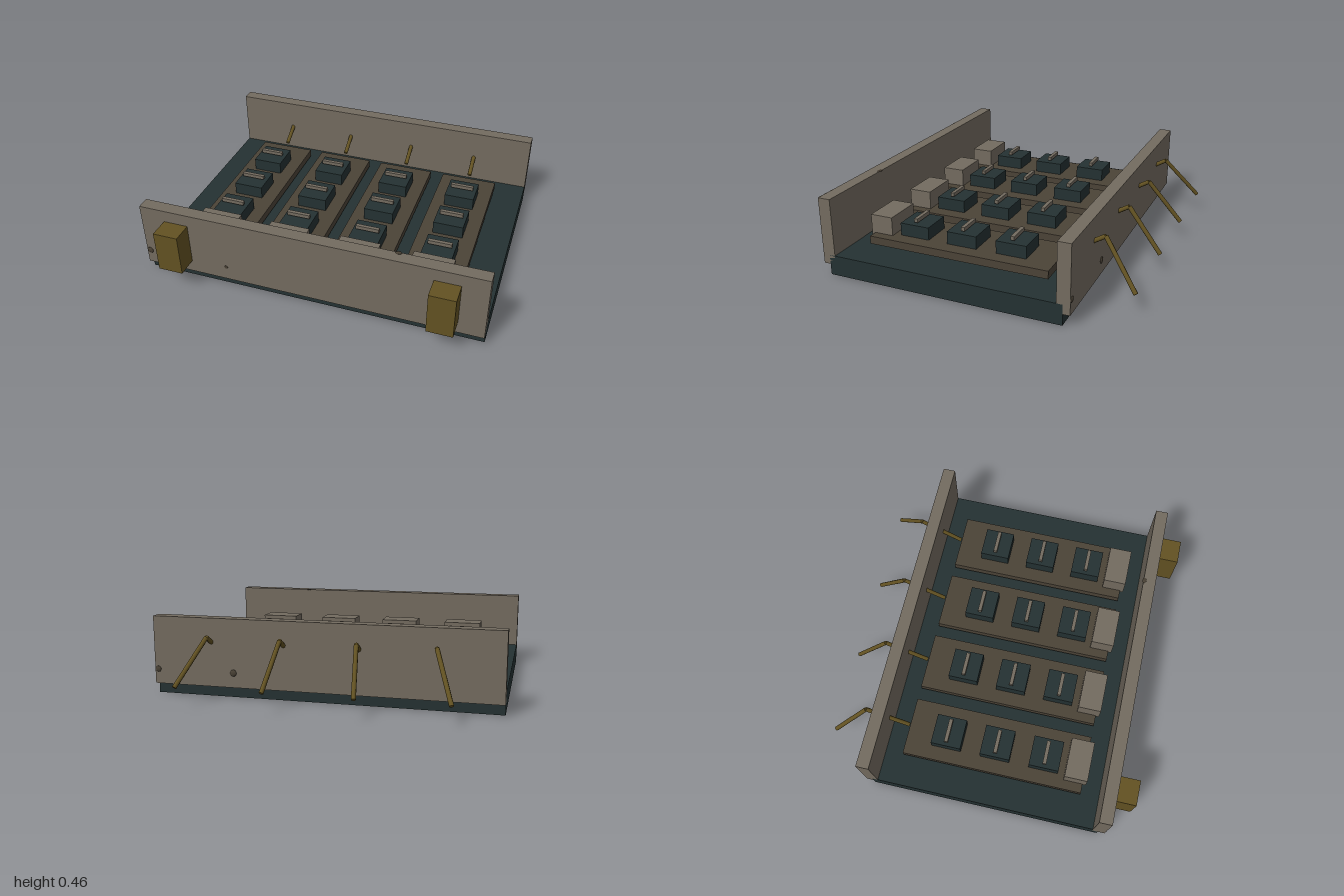
import * as THREE from 'three';

const mat = (name, color) => {
  const m = new THREE.MeshStandardMaterial({ color });
  m.name = name;
  return m;
};

export function createModel() {
  const model = new THREE.Group();
  model.name = 'moduleTray';

  const stone = mat('warm grey', 0x736b5f);
  const dark = mat('dark teal', 0x243132);
  const brown = mat('dull brown', 0x4b4337);
  const brass = mat('aged brass', 0x635222);
  const stain = mat('stain', 0x484034);

  // Box given by its min and max corners
  const box = (name, material, [x0, y0, z0], [x1, y1, z1], parent = model) => {
    const mesh = new THREE.Mesh(new THREE.BoxGeometry(x1 - x0, y1 - y0, z1 - z0), material);
    mesh.position.set((x0 + x1) / 2, (y0 + y1) / 2, (z0 + z1) / 2);
    mesh.name = name;
    parent.add(mesh);
  };

  // Straight piece of lead between two points
  const rod = (name, a, b, parent) => {
    const dir = b.clone().sub(a);
    const mesh = new THREE.Mesh(new THREE.CylinderGeometry(0.013, 0.013, dir.length(), 8), brass);
    mesh.position.copy(a).add(b).multiplyScalar(0.5);
    mesh.quaternion.setFromUnitVectors(new THREE.Vector3(0, 1, 0), dir.normalize());
    mesh.name = name;
    parent.add(mesh);
  };

  // Tray and end panels
  box('base', dark, [-1, 0, -0.62], [1, 0.12, 0.775]);
  box('frontPanel', stone, [-1, 0.065, 0.74], [1, 0.46, 0.815]);
  box('backPanel', stone, [-1, 0.065, -0.66], [1, 0.46, -0.585]);

  // Front handles
  for (const s of [-1, 1]) {
    box('handle', brass, [s * 0.78 - 0.073, 0.14, 0.81], [s * 0.78 + 0.073, 0.388, 0.935]);
  }

  // Four modules, each with a board, three chips, a connector and a bent lead
  for (const [x, endX] of [[-0.645, -0.75], [-0.215, -0.25], [0.215, 0.25], [0.645, 0.75]]) {
    const unit = new THREE.Group();
    unit.name = 'module';
    model.add(unit);
    box('board', brown, [x - 0.173, 0.14, -0.47], [x + 0.173, 0.187, 0.625], unit);
    for (const z of [-0.22, 0.08, 0.378]) {
      box('chip', dark, [x - 0.09, 0.18, z - 0.09], [x + 0.09, 0.262, z + 0.09], unit);
      box('chipBar', stone, [x - 0.07, 0.272, z - 0.011], [x + 0.07, 0.295, z + 0.011], unit);
    }
    box('connector', stone, [x - 0.118, 0.17, 0.508], [x + 0.118, 0.297, 0.645], unit);
    const bend = new THREE.Vector3(x, 0.36, -0.72);
    rod('leadInner', new THREE.Vector3(x, 0.213, -0.472), bend, unit);
    rod('leadOuter', bend, new THREE.Vector3(endX, 0.115, -0.922), unit);
  }

  // Small stains on the panels
  const spots = [
    [-0.98, 0.15, 0.815, 0.02], [-0.49, 0.15, 0.815, 0.011],
    [0.98, 0.15, -0.66, 0.018], [0.515, 0.15, -0.66, 0.02],
    [0.5, 0.46, 0.745, 0.018],
  ];
  for (const [x, y, z, r] of spots) {
    const spot = new THREE.Mesh(new THREE.IcosahedronGeometry(r, 1), stain);
    spot.scale.set(1, y > 0.4 ? 0.2 : 1, y > 0.4 ? 0.7 : 0.4);
    spot.position.set(x, y, z);
    spot.name = 'stain';
    model.add(spot);
  }
  return model;
}
